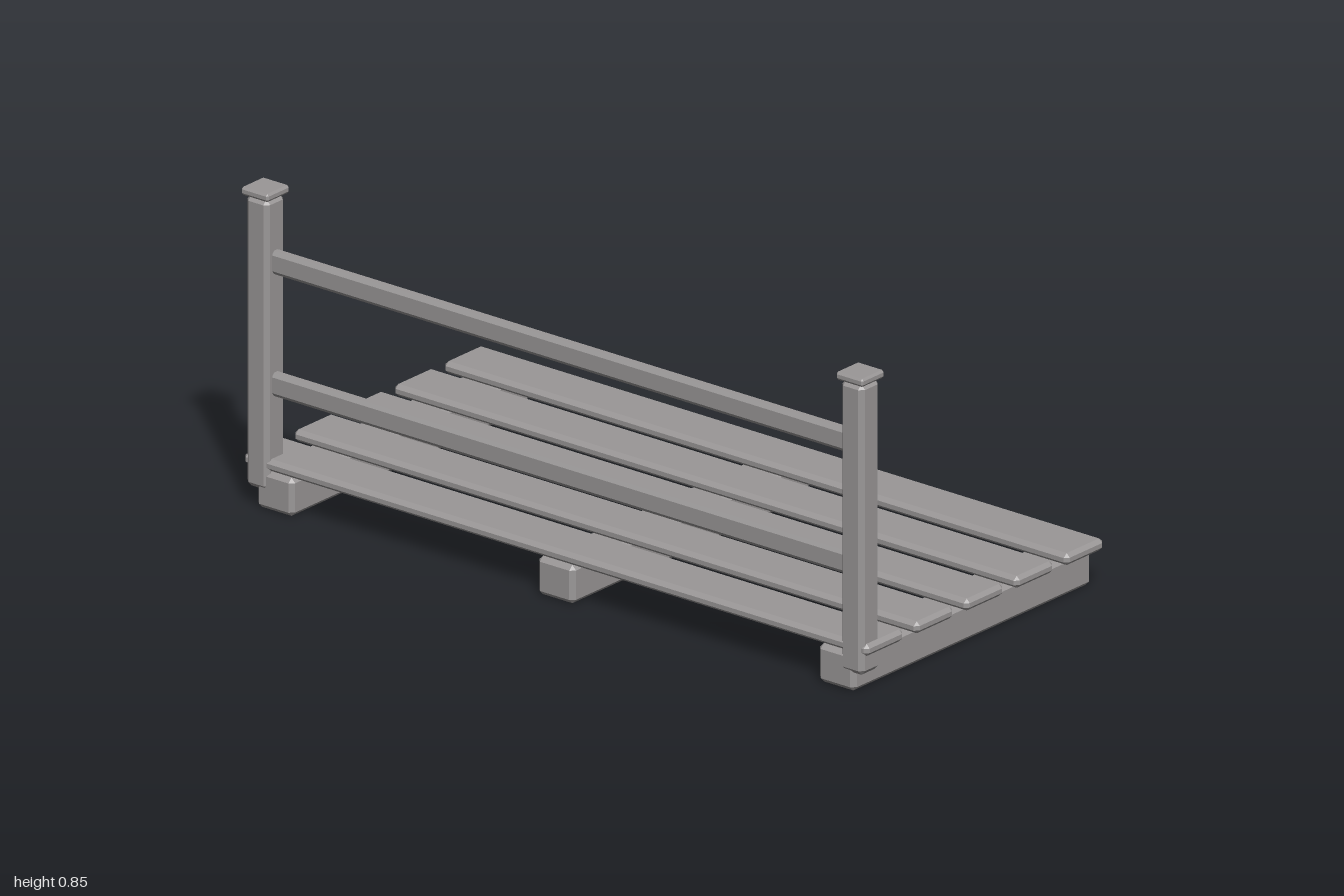
import * as THREE from 'three';
import { ConvexGeometry } from 'three/addons/geometries/ConvexGeometry.js';

// Box with every edge cut by a flat chamfer c = [cx, cy, cz]
function chamferBox(w, h, d, c) {
  const half = [w / 2, h / 2, d / 2];
  const points = [];
  for (const sx of [-1, 1]) for (const sy of [-1, 1]) for (const sz of [-1, 1]) {
    const sign = [sx, sy, sz];
    for (let full = 0; full < 3; full++) {
      points.push(new THREE.Vector3(...half.map((v, i) => sign[i] * (i === full ? v : v - c[i]))));
    }
  }
  return new ConvexGeometry(points);
}

export function createModel() {
  const model = new THREE.Group();
  model.name = 'slattedDeckWithRailing';
  const wood = new THREE.MeshStandardMaterial({ color: 0x9a9797 });
  wood.name = 'greyWood';

  // Adds a chamfered beam given its lower and upper corners
  function beam(name, [x0, y0, z0], [x1, y1, z1], c) {
    const mesh = new THREE.Mesh(chamferBox(x1 - x0, y1 - y0, z1 - z0, c), wood);
    mesh.name = name;
    mesh.position.set((x0 + x1) / 2, (y0 + y1) / 2, (z0 + z1) / 2);
    model.add(mesh);
  }

  // Three bearers running front to back
  for (const x of [-0.9, 0, 0.9]) {
    beam('bearer', [x - 0.059, 0, -0.468], [x + 0.059, 0.102, 0.456], [0.012, 0.012, 0.012]);
  }

  // Five deck slats
  for (let i = 0; i < 5; i++) {
    const z = -0.394 + i * 0.1938;
    beam('deckSlat', [-1, 0.103, z - 0.0745], [1, 0.135, z + 0.0745], [0.01, 0.01, 0.012]);
  }

  // Front corner posts with flat caps
  for (const side of [-1, 1]) {
    const x = side * 0.953;
    beam('post', [x - 0.036, 0.051, 0.388], [x + 0.036, 0.826, 0.461], [0.012, 0.013, 0.012]);
    beam('postCap', [x - 0.043, 0.826, 0.381], [x + 0.043, 0.848, 0.468], [0.005, 0.006, 0.005]);
  }

  // Two rails between the posts
  for (const y of [0.331, 0.656]) {
    beam('rail', [-0.93, y - 0.031, 0.412], [0.93, y + 0.031, 0.442], [0.008, 0.01, 0.008]);
  }

  return model;
}
